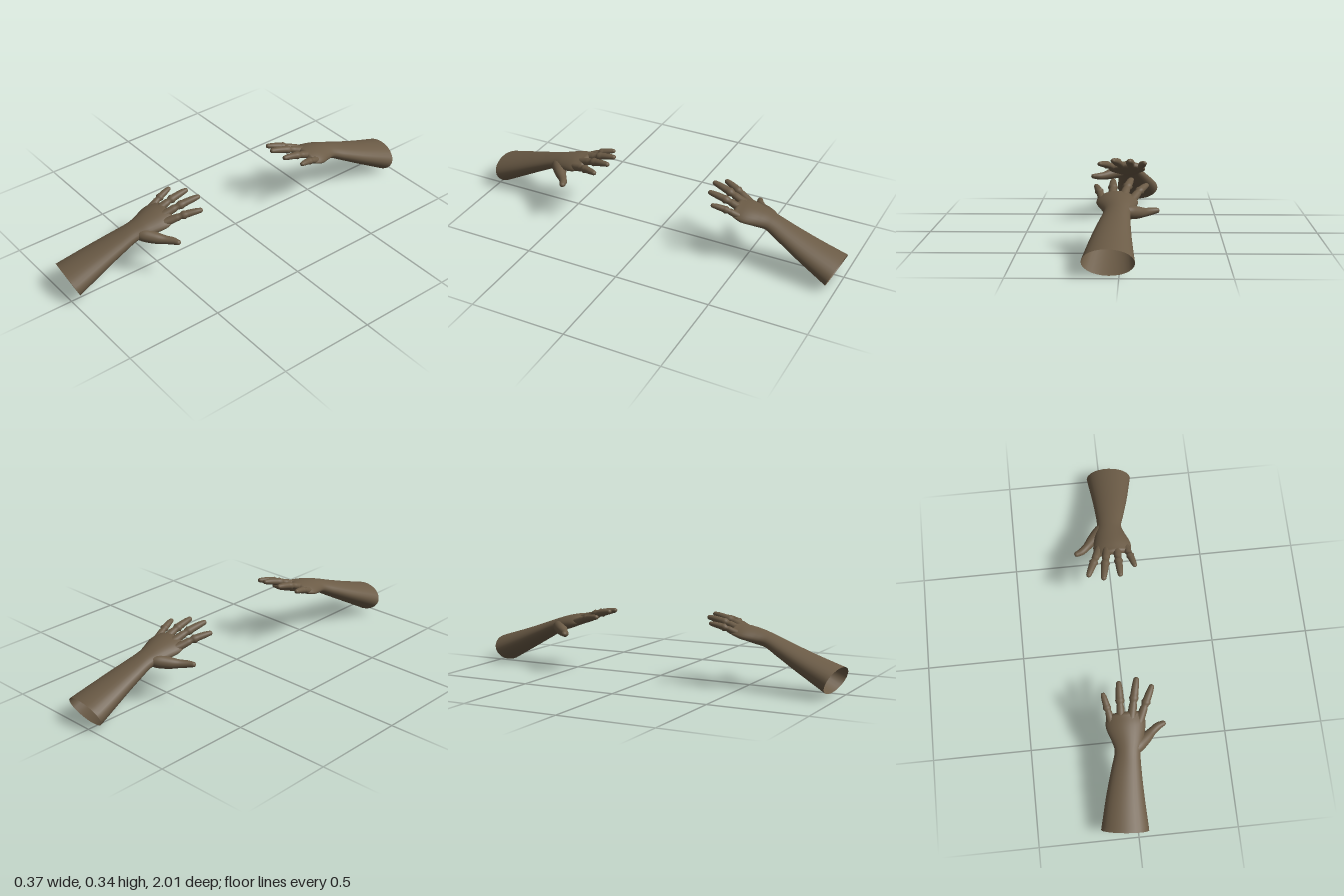
import * as THREE from 'three';

const UP = new THREE.Vector3(0, 1, 0);
const SIDES = 28;

// Smooth tube through sections [x, y, z, halfWidth, halfHeight, arch], closed by a dome at its far end.
function loft(sections, steps) {
  const path = new THREE.CatmullRomCurve3(sections.map(s => new THREE.Vector3(s[0], s[1], s[2])));
  const size = new THREE.CatmullRomCurve3(sections.map(s => new THREE.Vector3(s[3], s[4], s[5] || 0)));
  const positions = [], indices = [];
  let rings = 0;

  const addRing = (centre, tangent, w, h, arch) => {
    const side = new THREE.Vector3().crossVectors(tangent, UP).normalize();
    const lift = new THREE.Vector3().crossVectors(side, tangent).normalize();
    for (let j = 0; j < SIDES; j++) {
      const a = (j / SIDES) * Math.PI * 2, c = Math.cos(a);
      const p = centre.clone()
        .addScaledVector(side, c * w)
        .addScaledVector(lift, Math.sin(a) * h - arch * c * c);
      positions.push(p.x, p.y, p.z);
    }
    rings++;
  };

  for (let i = 0; i <= steps; i++) {
    const t = i / steps, s = size.getPoint(t);
    addRing(path.getPoint(t), path.getTangent(t), s.x, s.y, s.z);
  }
  const end = path.getPoint(1), tangent = path.getTangent(1), s = size.getPoint(1);
  for (let k = 1; k <= 6; k++) {
    const a = (k / 6) * Math.PI * 0.497;
    const c = Math.cos(a);
    addRing(end.clone().addScaledVector(tangent, s.y * Math.sin(a)), tangent, s.x * c, s.y * c, s.z * c);
  }

  for (let r = 0; r < rings - 1; r++) {
    for (let j = 0; j < SIDES; j++) {
      const a = r * SIDES + j, b = r * SIDES + (j + 1) % SIDES;
      indices.push(a, a + SIDES, b, b, a + SIDES, b + SIDES);
    }
  }
  const geometry = new THREE.BufferGeometry();
  geometry.setAttribute('position', new THREE.Float32BufferAttribute(positions, 3));
  geometry.setIndex(indices);
  geometry.computeVertexNormals();
  return geometry;
}

// Finger from inside the palm to its tip, flared at the base and swelling a little at the joint.
function finger(base, tip, r) {
  const radii = [1.15, 1.12, 1.0, 1.0, 0.86, 0.68];
  const stops = [-0.4, 0, 0.28, 0.52, 0.8, 0.95];
  return loft(stops.map((t, i) => {
    const p = base.map((v, k) => v + (tip[k] - v) * t);
    const bend = 0.006 * Math.sin(Math.PI * Math.max(t, 0));
    return [p[0], p[1] + bend, p[2], r * radii[i], r * radii[i] * 0.9];
  }), 20);
}

function createArm(material) {
  const arm = new THREE.Group();
  const add = (name, geometry) => {
    const mesh = new THREE.Mesh(geometry, material);
    mesh.name = name;
    arm.add(mesh);
  };

  // Hollow forearm, wrist and palm in one skin, open at the elbow end
  add('forearmAndPalm', loft([
    [-0.067, 0.082, 0.972, 0.119, 0.071, 0],
    [-0.050, 0.147, 0.820, 0.095, 0.054, 0],
    [-0.032, 0.200, 0.700, 0.075, 0.042, 0],
    [-0.018, 0.236, 0.620, 0.064, 0.035, 0.002],
    [-0.012, 0.255, 0.560, 0.080, 0.035, 0.010],
    [-0.013, 0.277, 0.490, 0.099, 0.029, 0.018],
    [-0.014, 0.290, 0.448, 0.092, 0.020, 0.019],
  ], 48));

  // Fingers
  add('littleFinger', finger([-0.084, 0.274, 0.460], [-0.111, 0.316, 0.332], 0.0175));
  add('ringFinger', finger([-0.034, 0.287, 0.452], [-0.027, 0.333, 0.284], 0.0195));
  add('middleFinger', finger([0.020, 0.288, 0.452], [0.062, 0.338, 0.274], 0.0200));
  add('indexFinger', finger([0.064, 0.275, 0.460], [0.136, 0.315, 0.313], 0.0195));

  // Thumb with the ball of the thumb at its root
  add('thumb', loft([
    [0.000, 0.240, 0.625, 0.026, 0.022],
    [0.040, 0.232, 0.585, 0.036, 0.033],
    [0.080, 0.224, 0.553, 0.030, 0.029],
    [0.116, 0.219, 0.521, 0.021, 0.021],
    [0.146, 0.219, 0.498, 0.019, 0.018],
    [0.174, 0.221, 0.487, 0.014, 0.013],
  ], 26));
  return arm;
}

export function createModel() {
  const skin = new THREE.MeshStandardMaterial({ color: 0x6b5b46 });
  skin.name = 'brown skin';
  skin.side = THREE.DoubleSide;

  const model = new THREE.Group();
  model.name = 'pairOfArms';

  const frontArm = createArm(skin);
  frontArm.name = 'frontArm';

  // Facing arm, turned around and set slightly askew
  const backArm = createArm(skin);
  backArm.name = 'backArm';
  backArm.rotation.y = Math.PI + 0.05;
  backArm.position.set(0.03, -0.013, 0);

  model.add(frontArm, backArm);
  return model;
}
